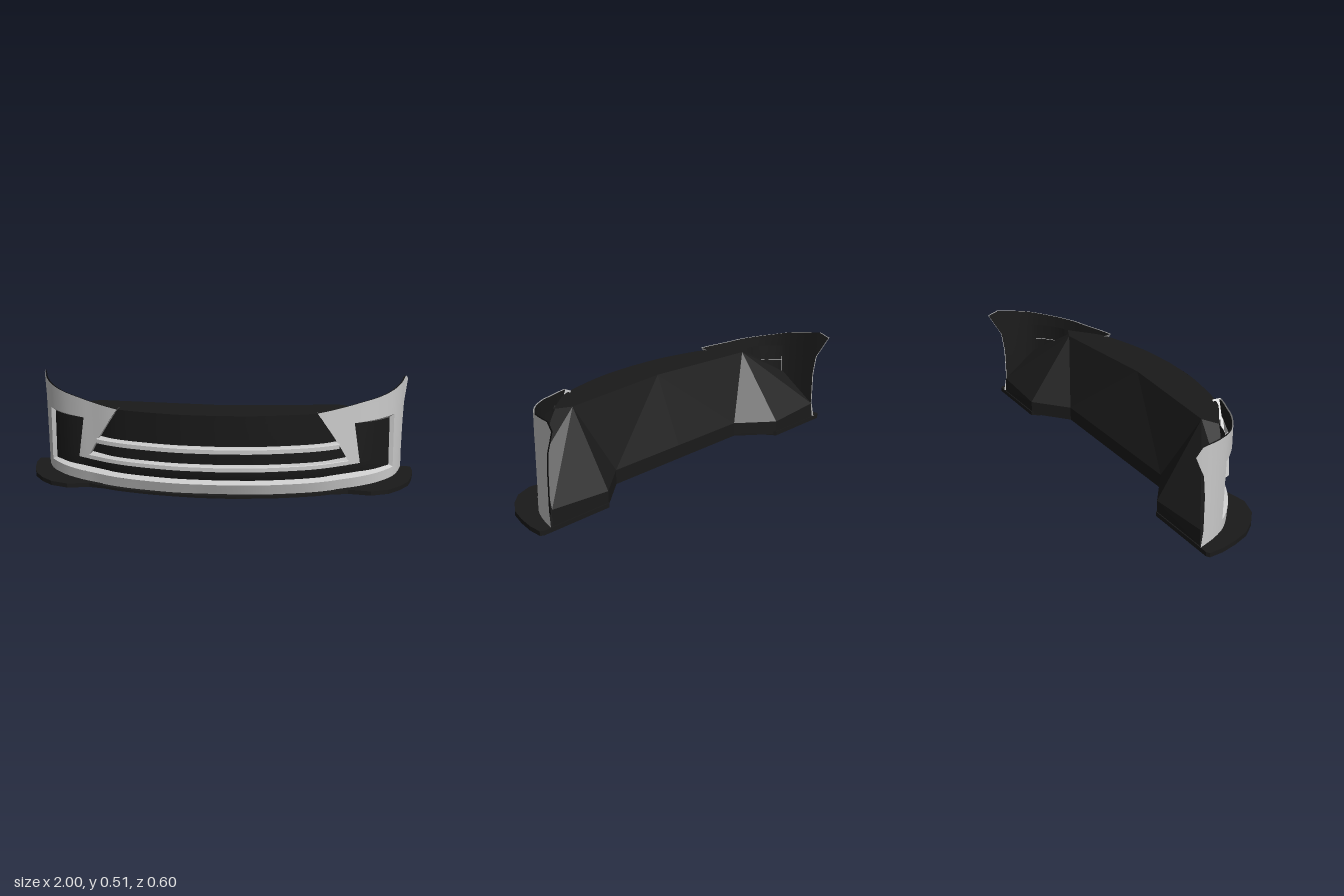
import * as THREE from 'three';
import { toCreasedNormals } from 'three/addons/utils/BufferGeometryUtils.js';

const grey = new THREE.MeshStandardMaterial({ color: 0xcccccc, side: THREE.DoubleSide });
const black = new THREE.MeshStandardMaterial({ color: 0x1a1a1a, side: THREE.DoubleSide });
const { lerp, clamp } = THREE.MathUtils;

// Plan outline of the bumper skin, centre to rear corner; s counts along these points
const plan = new THREE.CatmullRomCurve3([
  [0, 0.288], [0.2, 0.276], [0.4, 0.235], [0.52, 0.195], [0.62, 0.145], [0.70, 0.102],
  [0.78, 0.045], [0.84, -0.015], [0.885, -0.075], [0.92, -0.15], [0.945, -0.235], [0.968, -0.3],
].map(([x, z]) => new THREE.Vector3(x, 0, z)), false, 'catmullrom');

// Point on the skin at s and height y, set inward by d
function at(s, y, d = 0) {
  const a = Math.abs(s), k = clamp((a - 5) / 3, 0, 1);
  const p = plan.getPoint(Math.min(a / 11, 1));
  const lean = y < 0.08 ? (0.02 + 0.45 * (0.075 - y)) * Math.max(0, 1 - a / 8) : 0;
  return [Math.sign(s) * (p.x - d * k), y, p.z - lean - d * (1 - k)];
}

// Piecewise linear lookup
function table(xs, ys, x) {
  let i = 0;
  while (i < xs.length - 2 && x > xs[i + 1]) i++;
  return lerp(ys[i], ys[i + 1], clamp((x - xs[i]) / (xs[i + 1] - xs[i]), 0, 1));
}

// Grid surface from fn(u, v) -> [x, y, z]
function sheet(nu, nv, fn) {
  const pos = [], idx = [];
  for (let j = 0; j <= nv; j++) for (let i = 0; i <= nu; i++) pos.push(...fn(i / nu, j / nv));
  for (let j = 0; j < nv; j++) for (let i = 0; i < nu; i++) {
    const a = j * (nu + 1) + i, b = a + nu + 1;
    idx.push(a, a + 1, b + 1, a, b + 1, b);
  }
  const g = new THREE.BufferGeometry();
  g.setAttribute('position', new THREE.Float32BufferAttribute(pos, 3));
  g.setIndex(idx);
  return toCreasedNormals(g, 0.6);
}

const topY = s => table([2.67, 5, 6.8, 8.4, 10.23], [0.43, 0.46, 0.478, 0.497, 0.515], s);
const grilleEdge = y => 2.67 + (0.43 - Math.max(y, 0.17)) / 0.26 * 1.6;
const ventInner = y => lerp(5.05, 4.6, (y - 0.15) / 0.21);
const ventOuter = y => lerp(8.05, 7.85, (y - 0.075) / 0.285);
const rearEdge = y => table([0.02, 0.1, 0.27, 0.36], [10.08, 9.88, 9.88, 10.02], y);

export function createModel() {
  const model = new THREE.Group();
  const add = (name, geo, mat) => {
    const m = new THREE.Mesh(geo, mat);
    m.name = name;
    model.add(m);
  };

  // Lower lip across the whole width
  add('lowerLip', sheet(80, 4, (u, v) => {
    const y = lerp(0.02, 0.075, v);
    return at((2 * u - 1) * rearEdge(y), y);
  }), grey);
  add('lowerLipTop', sheet(64, 1, (u, v) => {
    const s = (2 * u - 1) * 8.05, k = clamp((Math.abs(s) - 5) / 3, 0, 1);
    return at(s, lerp(0.075, 0.087, v), v * lerp(0.055, 0.025, k));
  }), grey);

  for (const m of [1, -1]) {
    const side = m > 0 ? 'left' : 'right';

    // Painted corner panels, each with a dark liner behind it
    for (const [mat, d, part] of [[grey, 0, 'Skin'], [black, 0.008, 'Liner']]) {
      add(side + 'Upper' + part, sheet(32, 25, (u, v) => {
        const s0 = grilleEdge(lerp(0.36, 0.43, v));
        const s1 = table([0, 0.13, 0.84, 1], [10.02, 10.08, 11, 10.23], v);
        const s = lerp(s0, s1, u);
        return at(m * s, lerp(0.36, topY(s), v), d);
      }), mat);
      add(side + 'Rear' + part, sheet(10, 12, (u, v) => {
        const y = lerp(0.075, 0.36, v);
        return at(m * lerp(ventOuter(y), rearEdge(y), u), y, d);
      }), mat);
    }

    // Slanted strip between grille and side vent
    add(side + 'Strip', sheet(6, 12, (u, v) => {
      const y = lerp(0.15, 0.36, v);
      return at(m * lerp(grilleEdge(y), ventInner(y), u), y);
    }), grey);

    // Returns around the side vent and the grille edge
    add(side + 'VentInnerReturn', sheet(1, 10, (u, v) => {
      const y = lerp(0.15, 0.36, v);
      return at(m * (ventInner(y) + 0.05 * u), y - 0.014 * u, 0.065 * u);
    }), grey);
    add(side + 'VentTopReturn', sheet(16, 1, (u, v) => {
      const s = lerp(4.6, 7.85, u), k = clamp((s - 5) / 3, 0, 1);
      return at(m * s, 0.36 - 0.02 * v, v * lerp(0.065, 0.025, k));
    }), grey);
    add(side + 'VentOuterReturn', sheet(1, 10, (u, v) => {
      const y = lerp(0.075, 0.36, v);
      return at(m * ventOuter(y), y, 0.027 * u);
    }), grey);
    add(side + 'GrilleReturn', sheet(1, 10, (u, v) => {
      const y = lerp(0.17, 0.43, v);
      return at(m * (grilleEdge(y) - 0.06 * u), y, 0.045 * u);
    }), grey);
  }

  // Curved grille bars: profile points are [inset, height]
  const bar = (name, reach, profile) => {
    const n = profile.length - 1;
    add(name, sheet(48, n, (u, v) => {
      const [d, y] = profile[Math.round(v * n)];
      return at((2 * u - 1) * reach, y, d);
    }), grey);
  };
  bar('upperGrilleBar', 3.75, [[0.05, 0.265], [0, 0.268], [-0.012, 0.264], [-0.012, 0.243], [0, 0.239], [0.05, 0.235]]);
  bar('lowerGrilleBar', 4.3, [[0.06, 0.172], [0, 0.172], [-0.003, 0.17], [-0.003, 0.15], [0.06, 0.137]]);
  for (const m of [1, -1]) {
    add('lowerBarEnd', sheet(4, 1, (u, v) => at(m * lerp(4.3, 5.05, u), 0.15 - 0.014 * v, 0.065 * v)), grey);
  }

  // Dark panel behind the grille and vents
  const panel = (s, v) => {
    const a = Math.abs(s), k = clamp((a - 5) / 3, 0, 1), w = clamp((a - 3) / 1.5, 0, 1);
    const d = lerp(lerp(0.05, 0.028, v), lerp(0.062, 0.022, k), w);
    return at(s, lerp(0.02, 0.422, v), d);
  };
  add('grillePanel', sheet(80, 10, (u, v) => panel((2 * u - 1) * 8.3, v)), black);
  add('panelTop', sheet(40, 1, (u, v) => {
    const t = 2 * u - 1;
    return v ? [0.6 * t, 0.422, 0.06 - 0.05 * Math.abs(t)] : panel(t * 4.8, 1);
  }), black);

  // Faceted rear of the core, one half mirrored
  const pts = [
    [0, 0.422, 0.06], [0.6, 0.422, 0.01], [0.43, 0.08, -0.09], [0.61, 0.08, -0.235],
    [0.93, 0.1, -0.232], [0.65, 0.422, 0.08], [0, 0.08, -0.09], [0, 0.02, -0.09],
    [0.43, 0.02, -0.09], [0.61, 0.02, -0.235], [0.935, 0.02, -0.235], [0.86, 0.27, -0.08],
  ];
  const tris = [0, 1, 2, 0, 2, 6, 1, 3, 2, 1, 4, 3, 1, 5, 11, 1, 11, 4,
    6, 2, 8, 6, 8, 7, 2, 3, 9, 2, 9, 8, 3, 4, 10, 3, 10, 9];
  for (const m of [1, -1]) {
    const order = m > 0 ? tris : [...tris].reverse();
    const g = new THREE.BufferGeometry();
    g.setAttribute('position', new THREE.Float32BufferAttribute(
      order.flatMap(i => [m * pts[i][0], pts[i][1], pts[i][2]]), 3));
    g.computeVertexNormals();
    add(m > 0 ? 'leftCoreBack' : 'rightCoreBack', g, black);
  }

  // Flat splitter: centre blade and two thicker side blades, outlines in [x, z]
  const plate = (name, outline, y0, y1) => {
    const shape = new THREE.Shape(outline.map(([x, z]) => new THREE.Vector2(x, -z)));
    const g = new THREE.ExtrudeGeometry(shape, { depth: y1 - y0, bevelEnabled: false });
    g.rotateX(-Math.PI / 2).translate(0, y0, 0);
    add(name, g, black);
  };
  const half = [[0.1, 0.268], [0.2, 0.258], [0.3, 0.245], [0.4, 0.225], [0.5, 0.2], [0.65, 0.14], [0.65, -0.235], [0.61, -0.235], [0.43, -0.09]];
  const mirror = list => list.map(([x, z]) => [-x, z]).reverse();
  plate('centreSplitter', [[0, 0.272], ...half, ...mirror(half)], 0.007, 0.02);
  const blade = [[0.61, -0.24], [0.58, -0.2], [0.58, 0.155], [0.65, 0.14], [0.76, 0.157], [0.85, 0.125],
    [0.91, 0.07], [0.96, 0], [0.985, -0.08], [1, -0.16], [1, -0.23], [0.985, -0.24]];
  plate('leftSplitterBlade', blade, 0, 0.022);
  plate('rightSplitterBlade', mirror(blade), 0, 0.022);

  return model;
}
